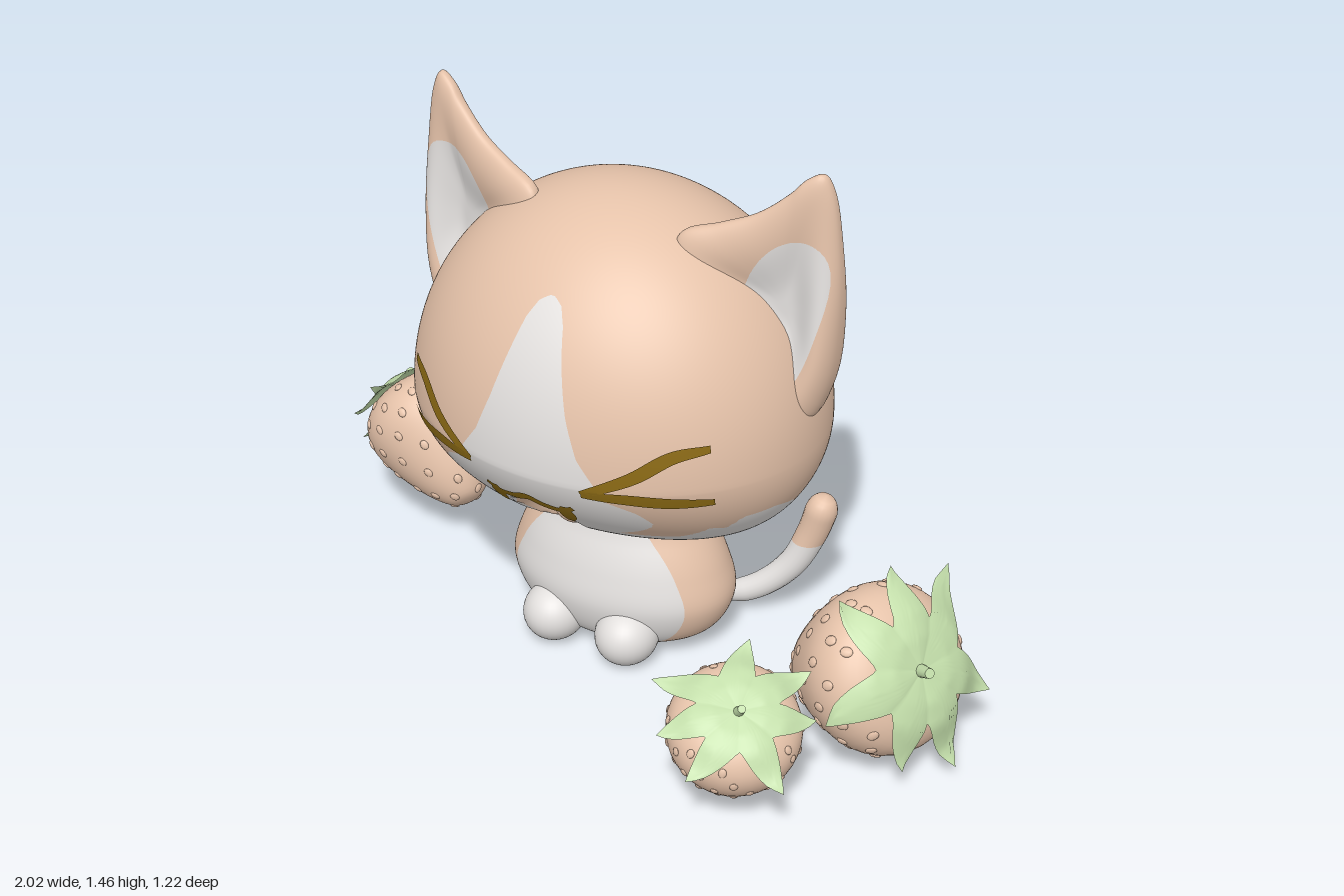
import * as THREE from 'three';
import { mergeVertices, mergeGeometries } from 'three/addons/utils/BufferGeometryUtils.js';

const mat = (name, color, side = THREE.FrontSide) => {
  const m = new THREE.MeshStandardMaterial({ color, side });
  m.name = name;
  return m;
};
const V = (x, y, z) => new THREE.Vector3(x, y, z);
const CX = -0.08; // the cat sits slightly off centre

// Move every vertex by a rule, then weld and smooth
function reshape(geo, rule) {
  geo.deleteAttribute('uv');
  geo.deleteAttribute('normal');
  const p = geo.attributes.position, v = V();
  for (let i = 0; i < p.count; i++) {
    v.fromBufferAttribute(p, i);
    rule(v, i);
    p.setXYZ(i, v.x, v.y, v.z);
  }
  geo = mergeVertices(geo, 1e-5);
  geo.computeVertexNormals();
  return geo;
}

// Two material groups: second where f > 0, cutting triangles along the border
function paint(geo, f) {
  const pos = Array.from(geo.attributes.position.array), nor = Array.from(geo.attributes.normal.array);
  const idx = geo.index.array, lists = [[], []], val = [];
  for (let i = 0; i < pos.length; i += 3) val.push(f(V(pos[i], pos[i + 1], pos[i + 2])));
  const cut = (a, b) => {
    const t = val[a] / (val[a] - val[b]);
    for (const arr of [pos, nor]) for (let k = 0; k < 3; k++) arr.push(arr[a * 3 + k] * (1 - t) + arr[b * 3 + k] * t);
    return pos.length / 3 - 1;
  };
  for (let i = 0; i < idx.length; i += 3) {
    let [a, b, c] = idx.slice(i, i + 3);
    const s = [a, b, c].map(k => (val[k] > 0 ? 1 : 0)), sum = s[0] + s[1] + s[2];
    if (sum % 3 === 0) { lists[sum / 3].push(a, b, c); continue; }
    const lone = s.indexOf(sum === 1 ? 1 : 0);
    if (lone === 1) [a, b, c] = [b, c, a];
    if (lone === 2) [a, b, c] = [c, a, b];
    const ab = cut(a, b), ac = cut(a, c), side = sum === 1 ? 1 : 0;
    lists[side].push(a, ab, ac);
    lists[1 - side].push(ab, b, c, ab, c, ac);
  }
  const out = new THREE.BufferGeometry();
  out.setAttribute('position', new THREE.Float32BufferAttribute(pos, 3));
  out.setAttribute('normal', new THREE.Float32BufferAttribute(nor, 3));
  out.setIndex(lists[0].concat(lists[1]));
  out.addGroup(0, lists[0].length, 0);
  out.addGroup(lists[0].length, lists[1].length, 1);
  return out;
}

function lerpTable(table, k) {
  if (k <= table[0][0]) return table[0][1];
  for (let i = 1; i < table.length; i++) {
    const [a, va] = table[i - 1], [b, vb] = table[i];
    if (k <= b) return va + (vb - va) * (k - a) / (b - a);
  }
  return table[table.length - 1][1];
}

// Head: an egg with a flat bottom and receding chin; x is relative to CX
const HY = 0.72, HW = 0.555, HD = 0.48, HZ = -0.13;
function headZ(x, y) {
  const low = y < HY, c = Math.abs(y - HY) / (low ? 0.33 : 0.59);
  const s = Math.sqrt(Math.max(0, 1 - c * c)), q = x / (HW * Math.pow(s, low ? 0.64 : 1));
  return HZ + HD * s * Math.sqrt(Math.max(0, 1 - q * q)) * (low ? 1 - 0.17 * c : 1);
}
const mouthDepth = (x, y) => 1 - Math.hypot(x / 0.085, (y - 0.535) / 0.1);

function headGeometry() {
  const geo = reshape(new THREE.SphereGeometry(1, 210, 140), v => {
    const c = v.y, s = Math.max(1e-6, Math.hypot(v.x, v.z)), low = c < 0;
    v.x *= HW * (low ? Math.pow(s, -0.36) : 1);
    v.z *= HD * (low ? (v.z > 0 ? 1 + 0.17 * c : Math.pow(s, -0.2)) : 1);
    v.y = HY + c * (low ? 0.33 : 0.59);
    v.z += HZ;
    const e = mouthDepth(v.x, v.y);
    if (v.z > 0 && e > 0) v.z -= 0.09 * Math.min(1, e * 2.2);
  });
  const blaze = [[0.68, 0.3], [0.72, 0.2], [0.8, 0.145], [0.9, 0.108], [1.0, 0.08], [1.1, 0.052], [1.14, 0.03], [1.155, 0], [1.3, -0.2]];
  const cheek = [[-0.23, 0.38], [-0.19, 0.5], [-0.1, 0.575], [-0.02, 0.6], [0.07, 0.6], [0.08, 0.56], [0.12, 0.575],
    [0.13, 0.53], [0.2, 0.53], [0.215, 0.6], [0.26, 0.65], [0.32, 0.7]];
  return paint(geo, c => {
    const f = c.z > 0 && c.y > 0.7 ? lerpTable(blaze, c.y) - Math.abs(c.x) : Math.min(c.z + 0.225, lerpTable(cheek, c.z) - c.y);
    return c.z > -0.1 ? Math.min(f, -0.09 * mouthDepth(c.x, c.y)) : f;
  });
}

// Thin tapered stroke lying on the face
function stroke(points, width, taper = 0.35) {
  const curve = new THREE.CatmullRomCurve3(points.map(([x, y]) => V(x, y, 0)));
  const n = 24, pos = [], idx = [];
  for (let i = 0; i <= n; i++) {
    const t = i / n, p = curve.getPoint(t), d = curve.getTangent(t);
    const w = width / 2 * (taper + (1 - taper) * Math.sin(Math.PI * Math.min(1, t * 0.8 + 0.1)));
    for (let k = -1; k <= 1; k++) {
      const x = p.x - d.y * w * k, y = p.y + d.x * w * k;
      pos.push(x, y, headZ(x, y) + 0.007);
    }
    if (i < n) for (let k = 0; k < 2; k++) {
      const a = i * 3 + k;
      idx.push(a, a + 3, a + 1, a + 1, a + 3, a + 4);
    }
  }
  const g = new THREE.BufferGeometry();
  g.setAttribute('position', new THREE.Float32BufferAttribute(pos, 3));
  g.setIndex(idx);
  g.computeVertexNormals();
  return g;
}

// Ear: a flattened ball stretched to a cat-ear outline, hollowed in front
function earGeometry(side) {
  const outline = new THREE.CatmullRomCurve3([[0.6, 1.1], [0.592, 1.28], [0.57, 1.43], [0.545, 1.474], [0.505, 1.455],
    [0.47, 1.415], [0.39, 1.348], [0.3, 1.308], [0.21, 1.27], [0.2, 1.18], [0.3, 1.0], [0.45, 0.84], [0.53, 0.795], [0.58, 0.9]]
    .map(([x, y]) => V(x, y, 0)), true);
  const plane = x => -0.165 + (0.6 - x) * 0.28;
  const geo = reshape(new THREE.SphereGeometry(1, 72, 48).rotateX(Math.PI / 2), v => {
    const r = Math.hypot(v.x, v.y), o = outline.getPoint((Math.atan2(v.y, v.x) / (2 * Math.PI) + 1) % 1);
    const x = 0.46 + (o.x - 0.46) * r, y = 1.1 + (o.y - 1.1) * r;
    const thick = 0.105 - 0.06 * THREE.MathUtils.smoothstep(y, 0.88, 1.4);
    let z = Math.sign(v.z) * Math.pow(Math.abs(v.z), 0.75) * thick;
    if (z > 0) z *= THREE.MathUtils.smoothstep(r, 0.1, 0.95);
    v.set(x * side, y, z + plane(x));
  });
  if (side < 0) { // mirrored ear: turn the triangles round
    const a = geo.index.array;
    for (let i = 0; i < a.length; i += 3) [a[i], a[i + 1]] = [a[i + 1], a[i]];
    geo.computeVertexNormals();
  }
  return paint(geo, c => {
    const x = c.x * side, dx = Math.abs(x - 0.45 - (c.y - 1.05) * 0.25) / 0.11, dy = Math.abs(c.y - 1.06) / 0.235;
    return c.z - plane(x) > -0.012 ? 1 - Math.pow(dx, 2.5) - Math.pow(dy, 2.5) : -1;
  });
}

// Strawberry pieces in unit size, crown towards +y
const berryProfile = new THREE.SplineCurve([[0, -1.12], [0.25, -1.06], [0.55, -0.74], [0.86, -0.2], [1, 0.25], [0.9, 0.62],
  [0.55, 0.86], [0, 0.9]].map(([x, y]) => new THREE.Vector2(x, y)));
function berryGeometry() {
  const pts = berryProfile.getPoints(36).map(p => p.set(Math.max(0, p.x), p.y));
  const parts = [reshape(new THREE.LatheGeometry(pts, 40), () => {})];
  for (let row = 0; row < 8; row++) { // low seed bumps in staggered rows
    const t = 0.15 + row * 0.083, p = berryProfile.getPoint(t), d = berryProfile.getTangent(t);
    const count = Math.max(4, Math.round(p.x * 12));
    for (let k = 0; k < count; k++) {
      const seed = new THREE.SphereGeometry(0.062, 8, 6).scale(1, 1.2, 0.42);
      seed.rotateX(Math.atan2(d.x, d.y)).translate(0, p.y, p.x).rotateY((k + row * 0.5) / count * Math.PI * 2);
      parts.push(reshape(seed, () => {}));
    }
  }
  return mergeGeometries(parts);
}
function crownGeometry() {
  const height = [[0, 0.95], [0.4, 0.96], [0.7, 0.88], [0.95, 0.7], [1.1, 0.62], [1.4, 0.66]];
  return reshape(new THREE.RingGeometry(0.001, 1, 112, 12).rotateX(-Math.PI / 2), v => {
    const rho = Math.hypot(v.x, v.z), a = Math.atan2(v.z, v.x);
    const f = (a / (2 * Math.PI) + 1) % 1 * 7, leaf = Math.floor(f) % 7;
    const tip = 1 - Math.abs(2 * (f - Math.floor(f)) - 1);
    const r = rho * (0.62 + (0.64 + 0.1 * Math.sin(leaf * 2.4)) * Math.pow(tip, 1.3));
    const b = a + 0.22 * rho * rho * tip * Math.sin(leaf * 1.7 + 1);
    v.set(r * Math.cos(b), lerpTable(height, r) + rho * tip * (0.05 + 0.05 * Math.sin(leaf * 3)), r * Math.sin(b));
  });
}

export function createModel() {
  const tan = mat('tan', 0xe6c3aa), white = mat('white', 0xe3e0de);
  const gold = mat('dark gold', 0x8a6914, THREE.DoubleSide), green = mat('leaf green', 0xc4dfab, THREE.DoubleSide);
  const model = new THREE.Group(), cat = new THREE.Group();
  model.name = 'kittenWithStrawberries';
  cat.name = 'kitten';
  cat.position.x = CX;
  model.add(cat);
  const add = (parent, name, geo, material) => {
    const m = new THREE.Mesh(geo, material);
    m.name = name;
    parent.add(m);
    return m;
  };

  // Head, ears, squeezed-shut eyes, fangs and feet
  add(cat, 'head', headGeometry(), [tan, white]);
  for (const s of [1, -1]) {
    const side = s > 0 ? 'left' : 'right';
    add(cat, side + 'Ear', earGeometry(s), [tan, white]);
    add(cat, side + 'EyeUpper', stroke([[0.16 * s, 0.71], [0.28 * s, 0.77], [0.36 * s, 0.825], [0.428 * s, 0.838]], 0.036), gold);
    add(cat, side + 'EyeLower', stroke([[0.16 * s, 0.708], [0.27 * s, 0.706], [0.36 * s, 0.695], [0.44 * s, 0.687]], 0.036), gold);
    add(cat, side + 'Fang', stroke([[0.1 * s, 0.645], [0.1 * s, 0.61], [0.093 * s, 0.575]], 0.042, 0.1), gold);
    add(cat, side + 'Foot', new THREE.SphereGeometry(1, 32, 24).scale(0.083, 0.08, 0.09), white).position.set(0.11 * s, 0.09, 0.03);
  }
  add(cat, 'lip', stroke([[-0.125, 0.645], [-0.09, 0.625], [-0.04, 0.63], [0, 0.645], [0.04, 0.63], [0.09, 0.625], [0.125, 0.645]], 0.024, 0.5), gold);
  add(cat, 'tongue', new THREE.SphereGeometry(1, 24, 16).scale(0.056, 0.058, 0.03), tan).position.set(0, 0.515, headZ(0, 0.515) - 0.085);

  // Body with a white belly
  const bodyPts = new THREE.SplineCurve([[0, 0.015], [0.15, 0.022], [0.265, 0.07], [0.315, 0.165], [0.295, 0.26], [0.25, 0.35], [0.19, 0.43], [0, 0.5]]
    .map(([x, y]) => new THREE.Vector2(x, y))).getPoints(48).map(p => p.set(Math.max(0, p.x), p.y));
  const body = reshape(new THREE.LatheGeometry(bodyPts, 100), v => { v.z = v.z * 0.68 - 0.14; });
  add(cat, 'body', paint(body, c => c.z + 0.015), [tan, white]);

  // Tail: thin at the root, thicker and rounded at the tip
  const path = new THREE.CatmullRomCurve3([V(0.1, 0.04, -0.29), V(0.27, 0.08, -0.33), V(0.37, 0.165, -0.37), V(0.42, 0.27, -0.395), V(0.455, 0.395, -0.405)]);
  const n = 60, rad = 20;
  const tail = reshape(new THREE.TubeGeometry(path, n, 1, rad), (v, i) => {
    const t = Math.floor(i / (rad + 1)) / n, p = path.getPointAt(t);
    const r = (0.028 + 0.017 * t) * Math.sqrt(Math.min(1, t / 0.3)) * Math.sqrt(Math.max(0, 1 - Math.pow(Math.max(0, (t - 0.9) / 0.1), 2)));
    v.sub(p).multiplyScalar(r).add(p);
  });
  add(cat, 'tail', paint(tail, c => 0.25 - c.y), [tan, white]);

  // Strawberries: centre, crown direction, radius
  const berry = berryGeometry(), crown = crownGeometry();
  const stem = new THREE.CylinderGeometry(0.06, 0.08, 0.24, 12).rotateZ(0.25).translate(-0.03, 1.04, 0);
  [['right', V(-0.765, 0.27, -0.29), V(-0.68, 0.55, -0.4), 0.185],
    ['left', V(0.72, 0.23, 0.005), V(0.8, 0.43, 0.28), 0.217],
    ['front', V(0.54, 0.185, 0.375), V(0.3, 0.8, 0.38), 0.168]].forEach(([name, centre, axis, size], i) => {
    const g = new THREE.Group();
    g.name = name + 'Strawberry';
    g.position.copy(centre);
    g.quaternion.setFromUnitVectors(V(0, 1, 0), axis.normalize());
    g.scale.setScalar(size);
    add(g, 'fruit', berry, tan);
    add(g, 'crownLeaves', crown, green).rotation.y = i * 1.3;
    add(g, 'stem', stem, green).rotation.y = i * 1.3;
    model.add(g);
  });
  return model;
}
